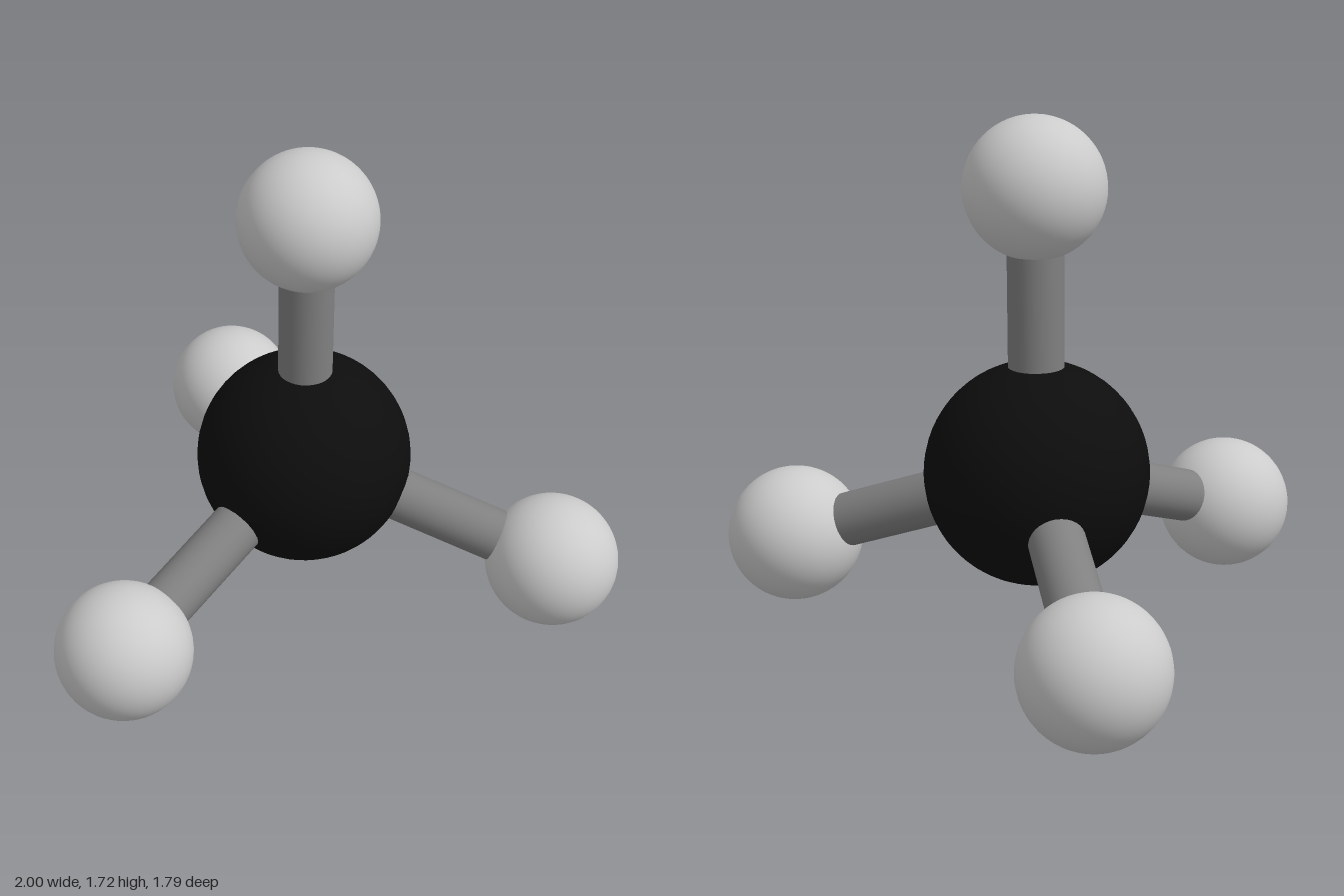
import * as THREE from 'three';

const CENTER = new THREE.Vector3(0, 0.545, -0.222);
const REACH = 0.942; // distance between core and outer ball centres

export function createModel() {
  const model = new THREE.Group();
  const ballMat = new THREE.MeshStandardMaterial({ color: 0xcccccc });
  const rodMat = new THREE.MeshStandardMaterial({ color: 0x808080 });
  const coreMat = new THREE.MeshStandardMaterial({ color: 0x0d0d0d });

  const add = (name, geometry, material, position) => {
    const mesh = new THREE.Mesh(geometry, material);
    mesh.name = name;
    mesh.position.copy(position);
    model.add(mesh);
    return mesh;
  };

  // Central dark ball
  add('coreBall', new THREE.SphereGeometry(0.371, 48, 32), coreMat, CENTER);

  // Tetrahedral directions: one up, three spread evenly below
  const up = new THREE.Vector3(0, 1, 0);
  const arms = { top: up };
  const spread = Math.sqrt(8) / 3;
  ['front', 'backLeft', 'backRight'].forEach((name, i) => {
    const a = (i * 2 * Math.PI) / 3;
    arms[name] = new THREE.Vector3(Math.sin(a) * spread, -1 / 3, Math.cos(a) * spread);
  });

  // Each arm is a rod ending in a light ball
  const ballGeo = new THREE.SphereGeometry(0.231, 48, 32);
  const rodGeo = new THREE.CylinderGeometry(0.092, 0.092, REACH, 32);
  for (const [name, dir] of Object.entries(arms)) {
    add(name + 'Ball', ballGeo, ballMat, CENTER.clone().addScaledVector(dir, REACH));
    const rod = add(name + 'Rod', rodGeo, rodMat, CENTER.clone().addScaledVector(dir, REACH / 2));
    rod.quaternion.setFromUnitVectors(up, dir);
  }
  return model;
}
